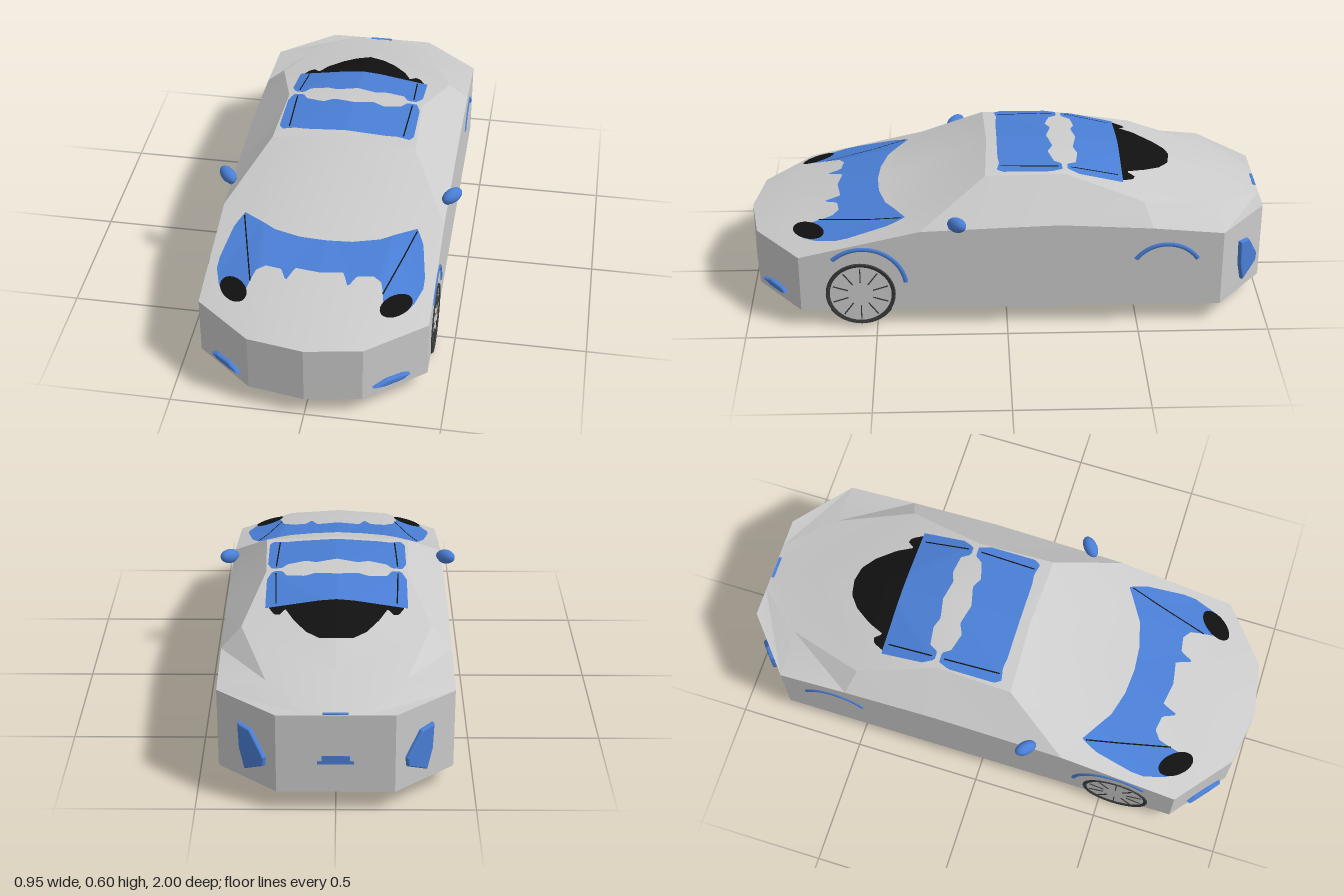
import * as THREE from 'three';
import { toCreasedNormals } from 'three/addons/utils/BufferGeometryUtils.js';

const mat = (color) => new THREE.MeshStandardMaterial({ color, side: THREE.DoubleSide });
const grey = mat(0xcccccc), blue = mat(0x4a7fd6), black = mat(0x111111), rubber = mat(0x3a3a3a);
const FLOOR = 0.075;

// Body stations from nose to tail: belt line, shoulder, centre line
const stations = [
  [[0.21, 0.305, 0.965], [0.1, 0.305, 0.983], [0, 0.305, 1]],
  [[0.425, 0.305, 0.79], [0.21, 0.348, 0.8], [0, 0.36, 0.79]],
  [[0.425, 0.41, 0.33], [0.25, 0.41, 0.43], [0, 0.41, 0.46]],
  [[0.425, 0.42, 0.08], [0.28, 0.567, 0.08], [0, 0.585, 0.07]],
  [[0.425, 0.43, -0.2], [0.27, 0.567, -0.22], [0, 0.59, -0.22]],
  [[0.425, 0.41, -0.55], [0.35, 0.485, -0.52], [0, 0.542, -0.52]],
  [[0.425, 0.385, -0.82], [0.25, 0.425, -0.82], [0, 0.448, -0.8]],
  [[0.21, 0.385, -1], [0.1, 0.385, -1], [0, 0.385, -1]],
];

function hullTriangles() {
  const tris = [];
  const add = (a, b, c) => {
    const m = ([x, y, z]) => [-x, y, z];
    tris.push([a, b, c], [m(a), m(c), m(b)]);
  };
  const quad = (a, b, c, d) => { add(a, b, c); add(a, c, d); };
  const drop = ([x, , z]) => [x, FLOOR, z];
  const rings = stations.map(([b, q, c]) => [drop(c), drop(q), drop(b), b, q, c]);
  for (let i = 0; i < rings.length - 1; i++) {
    const A = rings[i], B = rings[i + 1];
    for (let j = 0; j < 5; j++) quad(A[j], B[j], B[j + 1], A[j + 1]);
  }
  // nose and tail walls
  const f = rings[0], r = rings[rings.length - 1];
  quad(f[0], f[1], f[4], f[5]);
  quad(f[1], f[2], f[3], f[4]);
  quad(r[5], r[4], r[1], r[0]);
  quad(r[4], r[3], r[2], r[1]);
  return tris;
}
const tris = hullTriangles();

// Height of the body's upper skin at a plan position
function skinY(x, z) {
  let best = FLOOR;
  for (const [a, b, c] of tris) {
    const d = (b[2] - c[2]) * (a[0] - c[0]) + (c[0] - b[0]) * (a[2] - c[2]);
    if (Math.abs(d) < 1e-9) continue;
    const u = ((b[2] - c[2]) * (x - c[0]) + (c[0] - b[0]) * (z - c[2])) / d;
    const v = ((c[2] - a[2]) * (x - c[0]) + (a[0] - c[0]) * (z - c[2])) / d;
    const w = 1 - u - v;
    if (Math.min(u, v, w) > -1e-6) best = Math.max(best, u * a[1] + v * b[1] + w * c[1]);
  }
  return best;
}

function named(name, geo, material, pos = [0, 0, 0], rot = [0, 0, 0]) {
  const mesh = new THREE.Mesh(geo, material);
  mesh.name = name;
  mesh.position.set(...pos);
  mesh.rotation.set(...rot);
  return mesh;
}

// Panel lying on the skin; plan(u, v) gives [x, z]
function drape(name, material, plan, nu, nv, lift) {
  const geo = new THREE.PlaneGeometry(1, 1, nu, nv);
  const p = geo.attributes.position;
  for (let i = 0; i < p.count; i++) {
    const [x, z] = plan(p.getX(i) + 0.5, 0.5 - p.getY(i));
    p.setXYZ(i, x, skinY(x, z) + lift, z);
  }
  geo.computeVertexNormals();
  return named(name, geo, material);
}

// Piecewise linear curve through [x, value] pairs
function lerp(points, x) {
  for (let i = 1; i < points.length; i++) {
    const [x0, y0] = points[i - 1], [x1, y1] = points[i];
    if (x <= x1) return y0 + (y1 - y0) * (x - x0) / (x1 - x0);
  }
  return points[points.length - 1][1];
}
// Symmetric panel between two edge curves z(|x|)
const panel = (name, material, half, back, front, lift, nu = 64) =>
  drape(name, material, (u, v) => {
    const x = (u * 2 - 1) * half, b = lerp(back, Math.abs(x)), f = lerp(front, Math.abs(x));
    return [x, b + (f - b) * v];
  }, nu, 14, lift);

const seam = (name, x0, z0, x1, z1, lift) => drape(name, black, (u, v) =>
  [x0 + (x1 - x0) * v + (u - 0.5) * 0.005, z0 + (z1 - z0) * v], 1, 16, lift);

// Thin lamp extruded outward from a wall
function lamp(name, pts, pos, nx, nz) {
  const shape = new THREE.Shape(pts.map((p) => new THREE.Vector2(...p)));
  const geo = new THREE.ExtrudeGeometry(shape, {
    depth: 0.008, bevelThickness: 0.008, bevelSize: 0.006, bevelOffset: -0.006, bevelSegments: 2,
  });
  return named(name, geo, blue, pos, [0, Math.atan2(nx, nz), 0]);
}

function arch(name, z, y, r, from, to) {
  const geo = new THREE.TorusGeometry(r, 0.009, 8, 28, to - from);
  geo.rotateZ(from).scale(1, 1, 0.6);
  return named(name, geo, blue, [0.425, y, z], [0, Math.PI / 2, 0]);
}

function frontWheel() {
  const g = new THREE.Group();
  g.name = 'frontWheel';
  const profile = [[0.118, -0.055], [0.13, -0.058], [0.139, -0.045], [0.143, 0],
    [0.139, 0.045], [0.13, 0.058], [0.118, 0.055], [0.118, -0.055]];
  const tyre = new THREE.LatheGeometry(profile.map((p) => new THREE.Vector2(...p)), 48);
  g.add(named('tyre', toCreasedNormals(tyre, 0.7), rubber, [0, 0, 0], [0, 0, -Math.PI / 2]));
  g.add(named('rim', new THREE.CylinderGeometry(0.119, 0.119, 0.05, 40), grey, [0.027, 0, 0], [0, 0, Math.PI / 2]));
  for (let i = 0; i < 10; i++) {
    const a = i * Math.PI / 5;
    g.add(named('spoke', new THREE.BoxGeometry(0.006, 0.06, 0.004), rubber,
      [0.053, Math.cos(a) * 0.08, Math.sin(a) * 0.08], [a, 0, 0]));
  }
  g.position.set(0.372, 0.143, 0.56);
  return g;
}

// Everything that appears once on each side
function sideParts() {
  const g = new THREE.Group();
  g.name = 'sideParts';
  g.add(frontWheel());
  g.add(arch('frontArch', 0.55, 0.172, 0.165, Math.PI * 0.24, Math.PI * 0.94).rotateY(0));
  g.add(arch('rearArch', -0.607, 0.198, 0.142, Math.PI * 0.19, Math.PI * 0.81));
  // turn the front arch so its long tail points rearward
  g.children[1].geometry.rotateZ(-Math.PI * 0.2);

  // mirror
  const shell = new THREE.SphereGeometry(1, 24, 16).scale(0.045, 0.029, 0.026);
  g.add(named('mirrorShell', shell, blue, [0.438, 0.445, 0.19], [0, 0.75, 0.2]));
  g.add(named('mirrorStalk', new THREE.BoxGeometry(0.04, 0.012, 0.02), blue, [0.41, 0.428, 0.21]));

  // headlight
  g.add(drape('headlight', black, (u, v) => {
    const a = u * Math.PI * 2, p = Math.cos(a) * 0.072 * v, q = Math.sin(a) * 0.04 * v;
    return [0.3 - p * 0.64 + q * 0.77, 0.757 + p * 0.77 + q * 0.64];
  }, 32, 6, 0.017));
  g.add(seam('hoodSeam', 0.33, 0.4, 0.245, 0.72, 0.0135));
  g.add(seam('roofSeamFront', 0.232, -0.2, 0.225, 0.02, 0.0095));
  g.add(seam('roofSeamRear', 0.225, -0.43, 0.232, -0.25, 0.0095));

  // corner lamps
  g.add(lamp('tailLamp', [[-0.03, 0.3], [-0.025, 0.2], [0, 0.12], [0.09, 0.165], [0.095, 0.2], [0.03, 0.29]],
    [0.3175, 0, -0.91], 0.642, -0.767));
  g.add(lamp('fogLamp', [[-0.077, 0.117], [-0.02, 0.105], [0.05, 0.105], [0.08, 0.119], [0.05, 0.13], [-0.02, 0.133]],
    [0.3, 0, 0.892], 0.632, 0.776));
  return g;
}

export function createModel() {
  const model = new THREE.Group();
  model.name = 'car';

  const hull = new THREE.BufferGeometry();
  hull.setAttribute('position', new THREE.Float32BufferAttribute(tris.flat(2), 3));
  model.add(named('body', toCreasedNormals(hull, 0.3), grey));

  // hood
  model.add(panel('hood', blue, 0.385,
    [[0, 0.5], [0.1, 0.492], [0.2, 0.465], [0.33, 0.385], [0.36, 0.45], [0.385, 0.6]],
    [[0, 0.66], [0.09, 0.645], [0.115, 0.71], [0.14, 0.655], [0.2, 0.645], [0.235, 0.67],
      [0.26, 0.79], [0.33, 0.78], [0.36, 0.73], [0.385, 0.65]], 0.012, 96));

  // roof panels and rear window
  model.add(panel('roofFront', blue, 0.265,
    [[0, -0.165], [0.08, -0.185], [0.12, -0.165], [0.19, -0.185], [0.21, -0.215], [0.25, -0.215], [0.265, -0.17]],
    [[0, 0.03], [0.16, 0.03], [0.2, 0.025], [0.25, 0.035], [0.265, 0.01]], 0.008));
  model.add(panel('roofRear', blue, 0.265,
    [[0, -0.447], [0.265, -0.447]],
    [[0, -0.28], [0.08, -0.265], [0.12, -0.28], [0.19, -0.27], [0.21, -0.235], [0.245, -0.235], [0.265, -0.28]], 0.008));
  model.add(panel('rearWindow', black, 0.25,
    [[0, -0.65], [0.06, -0.64], [0.11, -0.6], [0.16, -0.53], [0.19, -0.465], [0.21, -0.495], [0.23, -0.49], [0.25, -0.45]],
    [[0, -0.445], [0.25, -0.445]], 0.007));

  // tail details
  model.add(named('rearPlate', new THREE.BoxGeometry(0.1, 0.025, 0.008), blue, [0, 0.21, -0.998]));
  model.add(named('rearPlateLip', new THREE.BoxGeometry(0.13, 0.012, 0.01), blue, [0, 0.195, -0.997]));
  model.add(named('brakeStrip', new THREE.BoxGeometry(0.09, 0.006, 0.012), blue, [0, 0.386, -0.992]));

  const left = sideParts(), right = sideParts();
  left.name = 'leftParts';
  right.name = 'rightParts';
  right.scale.x = -1;
  model.add(left, right);
  return model;
}
